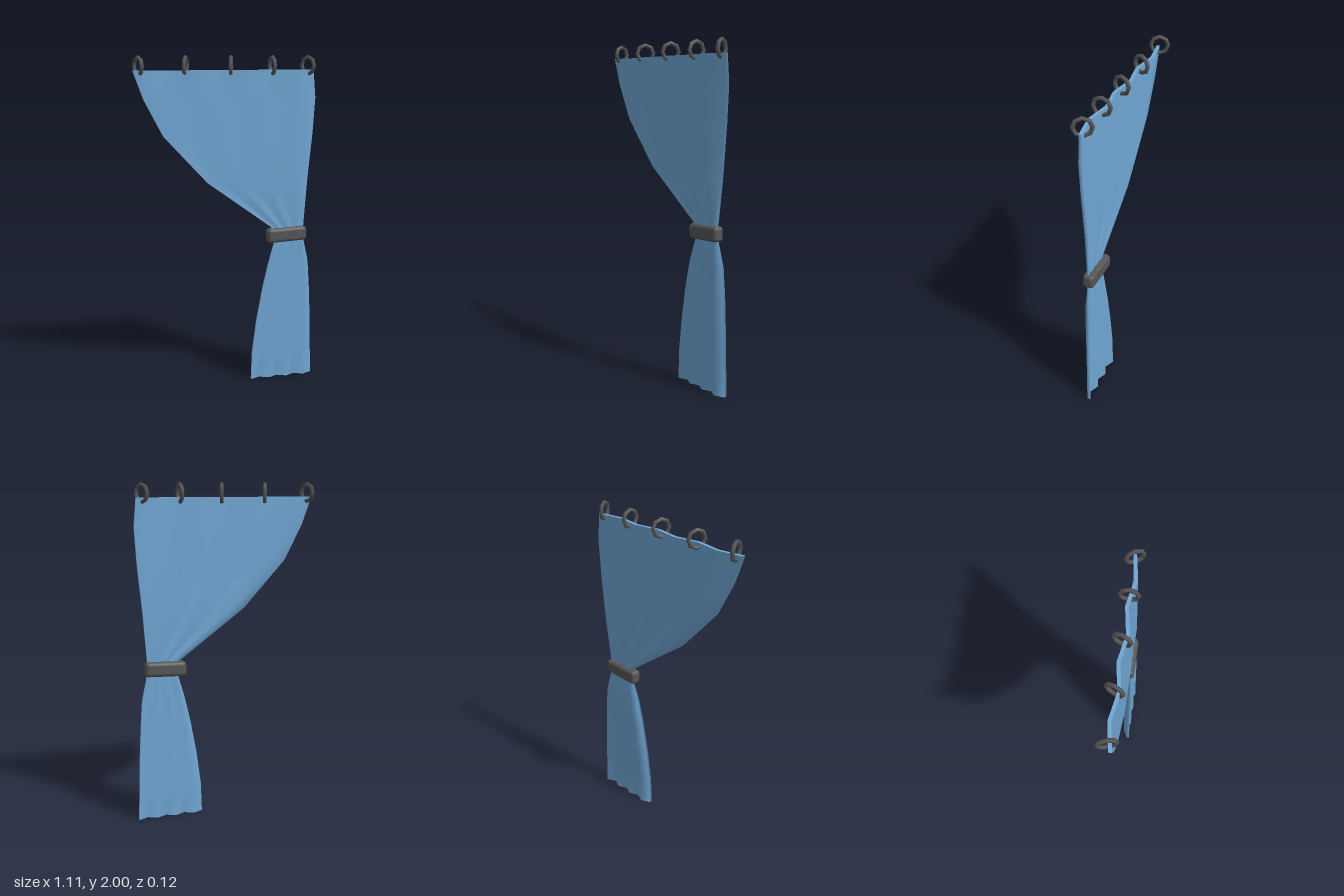
import * as THREE from 'three';
import { RoundedBoxGeometry } from 'three/addons/geometries/RoundedBoxGeometry.js';

// Outline of the cloth, top to hem: height, left x, right x, fold depth, half thickness
const ROWS = [
  [1.915, -0.555, 0.53, 0.013, 0.01],
  [1.75, -0.495, 0.545, 0.013, 0.01],
  [1.54, -0.385, 0.532, 0.013, 0.01],
  [1.26, -0.125, 0.505, 0.013, 0.01],
  [0.97, 0.275, 0.482, 0.003, 0.006],
  [0.87, 0.293, 0.488, 0.004, 0.006],
  [0.74, 0.255, 0.518, 0.011, 0.009],
  [0.58, 0.218, 0.53, 0.013, 0.01],
  [0.38, 0.182, 0.54, 0.013, 0.01],
  [0.18, 0.156, 0.546, 0.013, 0.01],
  [0.0, 0.15, 0.552, 0.013, 0.01],
];
const FOLDS = 8;

// Thick pleated sheet: each row is a closed zigzag loop, front then back
function clothGeometry() {
  const pos = [], index = [], n = FOLDS * 2;
  const addRow = ([y, left, right, depth, half]) => {
    for (let i = 0; i < n; i++) {
      const j = i < FOLDS ? i : n - 1 - i;
      const z = 0.006 + (j % 2 ? -depth : depth) + (i < FOLDS ? half : -half);
      pos.push(left + (right - left) * j / (FOLDS - 1), y, z);
    }
  };
  ROWS.forEach(addRow);
  for (let r = 0; r < ROWS.length - 1; r++) {
    for (let i = 0; i < n; i++) {
      const a = r * n + i, b = r * n + (i + 1) % n;
      index.push(a, a + n, b, b, a + n, b + n);
    }
  }
  // Top edge and hem, with their own vertices so they stay crisp
  [ROWS[0], ROWS[ROWS.length - 1]].forEach((row, k) => {
    const s = pos.length / 3;
    addRow(row);
    for (let j = 0; j < FOLDS - 1; j++) {
      const f = s + j, g = f + 1, b = s + n - 1 - j, c = b - 1;
      if (k === 0) index.push(f, g, c, f, c, b);
      else index.push(f, c, g, f, b, c);
    }
  });
  const geo = new THREE.BufferGeometry();
  geo.setAttribute('position', new THREE.Float32BufferAttribute(pos, 3));
  geo.setIndex(index);
  geo.computeVertexNormals();
  return geo;
}

export function createModel() {
  const model = new THREE.Group();
  const blue = new THREE.MeshStandardMaterial({ color: 0x70a6d4 });
  blue.name = 'blue cloth';
  const grey = new THREE.MeshStandardMaterial({ color: 0x555555 });
  grey.name = 'dark grey';
  const add = (name, geometry, material) => {
    const mesh = new THREE.Mesh(geometry, material);
    mesh.name = name;
    model.add(mesh);
    return mesh;
  };

  add('curtain', clothGeometry(), blue);

  // Tieback gathered round the waist
  const tie = add('tieback', new RoundedBoxGeometry(0.25, 0.088, 0.068, 3, 0.022), grey);
  tie.position.set(0.373, 0.921, 0.002);
  tie.rotation.z = 0.04;

  // Hanging rings: x position and sideways lean of the ring plane
  const ringGeo = new THREE.TorusGeometry(0.05, 0.012, 6, 8);
  [[-0.52, 0.035], [-0.247, -0.05], [0.022, -0.038], [0.273, 0], [0.496, 0.055]].forEach(([x, lean], i) => {
    const ring = add('ring' + (i + 1), ringGeo, grey);
    ring.position.set(x, 1.938, -0.003);
    ring.rotation.y = Math.atan2(-0.115, lean);
  });
  return model;
}
